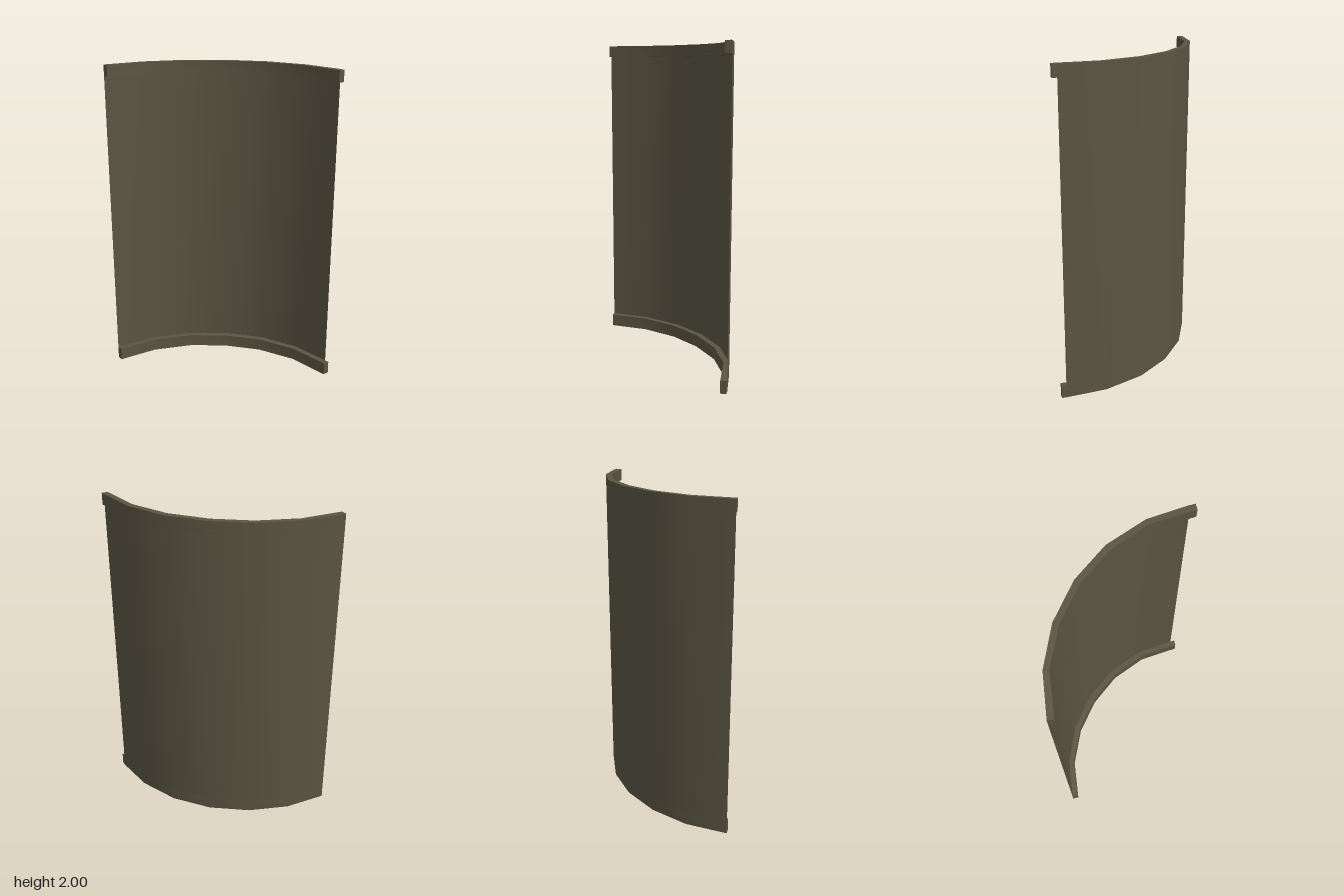
import * as THREE from 'three';
import { toCreasedNormals } from 'three/addons/utils/BufferGeometryUtils.js';

// Plan outline (x, z) of the quarter-round wall: convex side and concave side
const OUTER = [[-0.513, 0.5], [-0.48, 0.24], [-0.38, 0], [-0.22, -0.21], [-0.015, -0.37], [0.23, -0.47], [0.513, -0.5]];
const INNER = [[-0.475, 0.5], [-0.446, 0.245], [-0.346, 0.012], [-0.195, -0.18], [0.002, -0.336], [0.24, -0.435], [0.513, -0.462]];
const HEIGHT = 2;

// Solid strip following the curve, from y = bottom up to y = top
function makeTrim(name, bottom, top, material) {
  const outline = [...OUTER, ...[...INNER].reverse()].map(([x, z]) => new THREE.Vector2(x, z));
  const geometry = new THREE.ExtrudeGeometry(new THREE.Shape(outline), { depth: top - bottom, bevelEnabled: false });
  geometry.rotateX(Math.PI / 2);
  geometry.translate(0, top, 0);
  const mesh = new THREE.Mesh(toCreasedNormals(geometry, 0.6), material);
  mesh.name = name;
  return mesh;
}

// Thin sheet bent along the convex outline, stopping a little short of the trim
function makeWall(material) {
  const path = OUTER.map((p) => [...p]);
  path[path.length - 1] = [0.484, -0.499];
  const geometry = new THREE.PlaneGeometry(1, HEIGHT, path.length - 1, 1);
  const position = geometry.attributes.position;
  for (let i = 0; i < position.count; i++) {
    const [x, z] = path[i % path.length];
    position.setXYZ(i, x, position.getY(i) + HEIGHT / 2, z);
  }
  geometry.computeVertexNormals();
  const mesh = new THREE.Mesh(geometry, material);
  mesh.name = 'curvedWall';
  return mesh;
}

export function createModel() {
  const olive = new THREE.MeshStandardMaterial({ color: 0x5a5442, side: THREE.DoubleSide });
  olive.name = 'olive grey';

  const group = new THREE.Group();
  group.name = 'curvedWallPanel';
  group.add(
    makeWall(olive),
    makeTrim('bottomTrim', 0, 0.08, olive),
    makeTrim('topTrim', 1.928, HEIGHT, olive),
  );
  return group;
}
